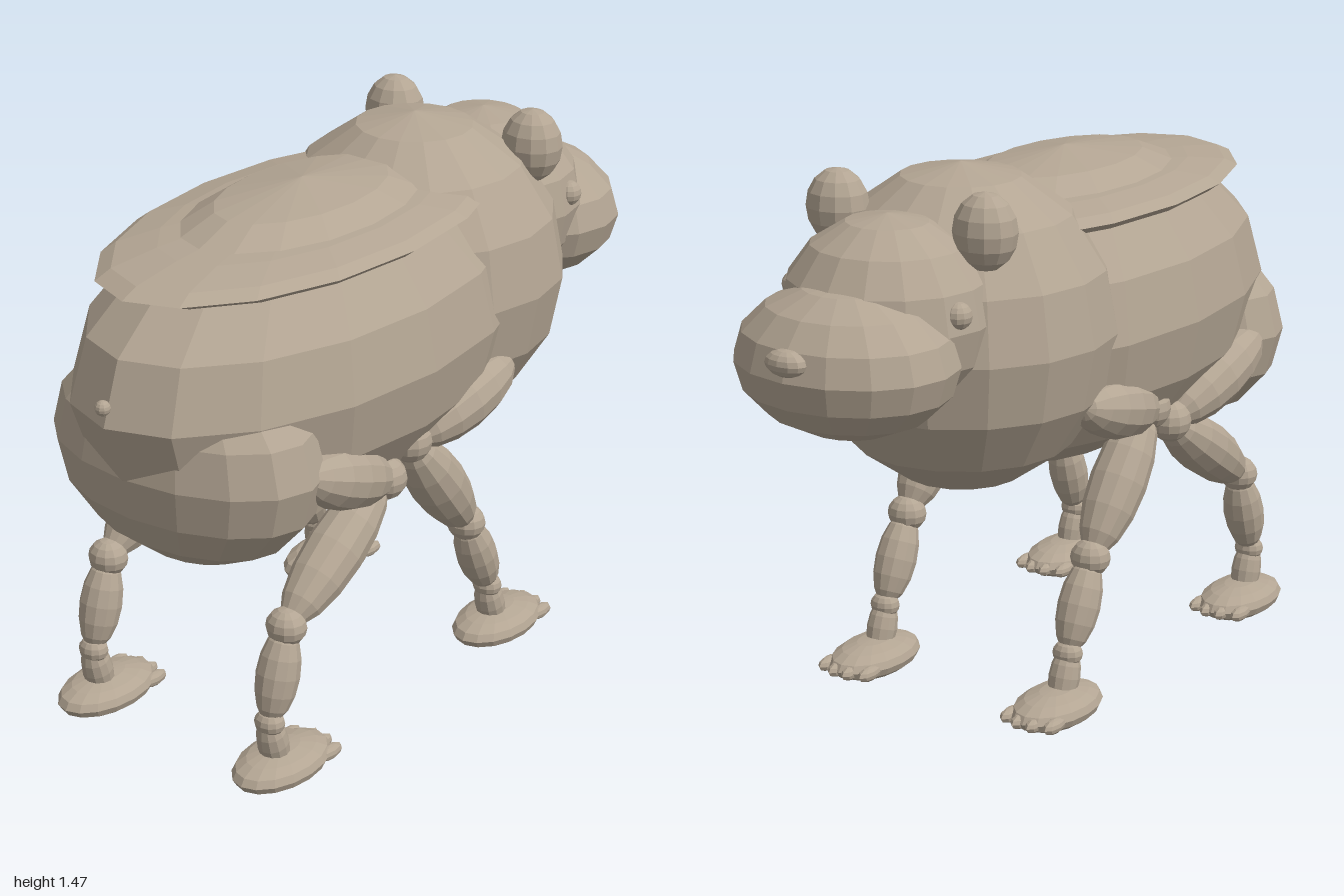
import * as THREE from 'three';

const fur = new THREE.MeshStandardMaterial({ color: 0xb3a593, flatShading: true });
fur.name = 'tan';

// faceted ellipsoid at a centre with three radii
function blob(parent, name, centre, radii, seg = 16, rings = 8) {
  const mesh = new THREE.Mesh(new THREE.SphereGeometry(1, seg, rings), fur);
  mesh.name = name;
  mesh.position.set(...centre);
  mesh.scale.set(...radii);
  parent.add(mesh);
  return mesh;
}

// long ellipsoid stretched between two points
function limb(parent, name, from, to, radius) {
  const a = new THREE.Vector3(...from), b = new THREE.Vector3(...to);
  const dir = b.clone().sub(a);
  const mid = a.clone().add(b).multiplyScalar(0.5);
  const mesh = blob(parent, name, mid.toArray(), [radius, dir.length() / 2, radius], 12, 8);
  mesh.quaternion.setFromUnitVectors(new THREE.Vector3(0, 1, 0), dir.normalize());
  return mesh;
}

// joints are [y, z] pairs: hip end, elbow, knee, ankle, heel
function leg(side, name, hip, elbow, knee, ankle, footZ) {
  const g = new THREE.Group();
  g.name = name;
  const x = side * 0.3;
  const at = (p, px = x) => [px, p[0], p[1]];
  limb(g, 'hip', at(hip, side * 0.35), at(elbow, side * 0.31), 0.083);
  blob(g, 'hipJoint', at(elbow, side * 0.31), [0.058, 0.058, 0.058], 12, 8);
  limb(g, 'thigh', at(elbow), at(knee), 0.077);
  blob(g, 'knee', at(knee), [0.055, 0.05, 0.05], 12, 8);
  limb(g, 'shin', at(knee), at(ankle), 0.057);
  blob(g, 'ankle', at(ankle), [0.042, 0.036, 0.036], 12, 8);
  limb(g, 'heel', [x, ankle[0] + 0.02, ankle[1] + 0.01], [x, 0.04, footZ + 0.01], 0.042);
  // flat paw with four toes pointing forward
  blob(g, 'paw', [x, 0.055, footZ], [0.1, 0.05, 0.16]);
  for (let i = 0; i < 4; i++) {
    const t = (i - 1.5) / 1.5;
    blob(g, 'toe', [x + t * 0.068, 0.053, footZ - 0.137 + Math.abs(t) * 0.025], [0.02, 0.02, 0.045], 8, 6);
  }
  return g;
}

export function createModel() {
  const model = new THREE.Group();
  model.name = 'animal';

  // trunk
  blob(model, 'body', [0, 1.01, 0.22], [0.43, 0.42, 0.76]);
  blob(model, 'rump', [0, 0.85, 0.68], [0.4, 0.295, 0.24]);
  blob(model, 'shoulders', [0, 1.045, -0.25], [0.41, 0.43, 0.405]);
  blob(model, 'backPlate', [0, 1.315, 0.22], [0.355, 0.055, 0.68]);
  blob(model, 'tail', [0, 1.065, 0.98], [0.02, 0.02, 0.02], 10, 8);

  // head
  blob(model, 'head', [0, 1.15, -0.56], [0.28, 0.255, 0.265]);
  blob(model, 'muzzle', [0, 1.073, -0.73], [0.3, 0.193, 0.25]);
  blob(model, 'nose', [0, 1.12, -0.963], [0.06, 0.034, 0.037], 12, 8);

  for (const side of [1, -1]) {
    blob(model, 'ear', [side * 0.228, 1.37, -0.465], [0.085, 0.1, 0.076], 12, 8);
    blob(model, 'eye', [side * 0.252, 1.195, -0.612], [0.035, 0.035, 0.035], 12, 8);
    model.add(leg(side, 'rearLeg', [0.86, 0.66], [0.7, 0.275], [0.435, 0.665], [0.19, 0.735], 0.69));
    model.add(leg(side, 'frontLeg', [0.87, -0.21], [0.765, 0.17], [0.42, -0.095], [0.185, -0.2], -0.25));
  }
  return model;
}
